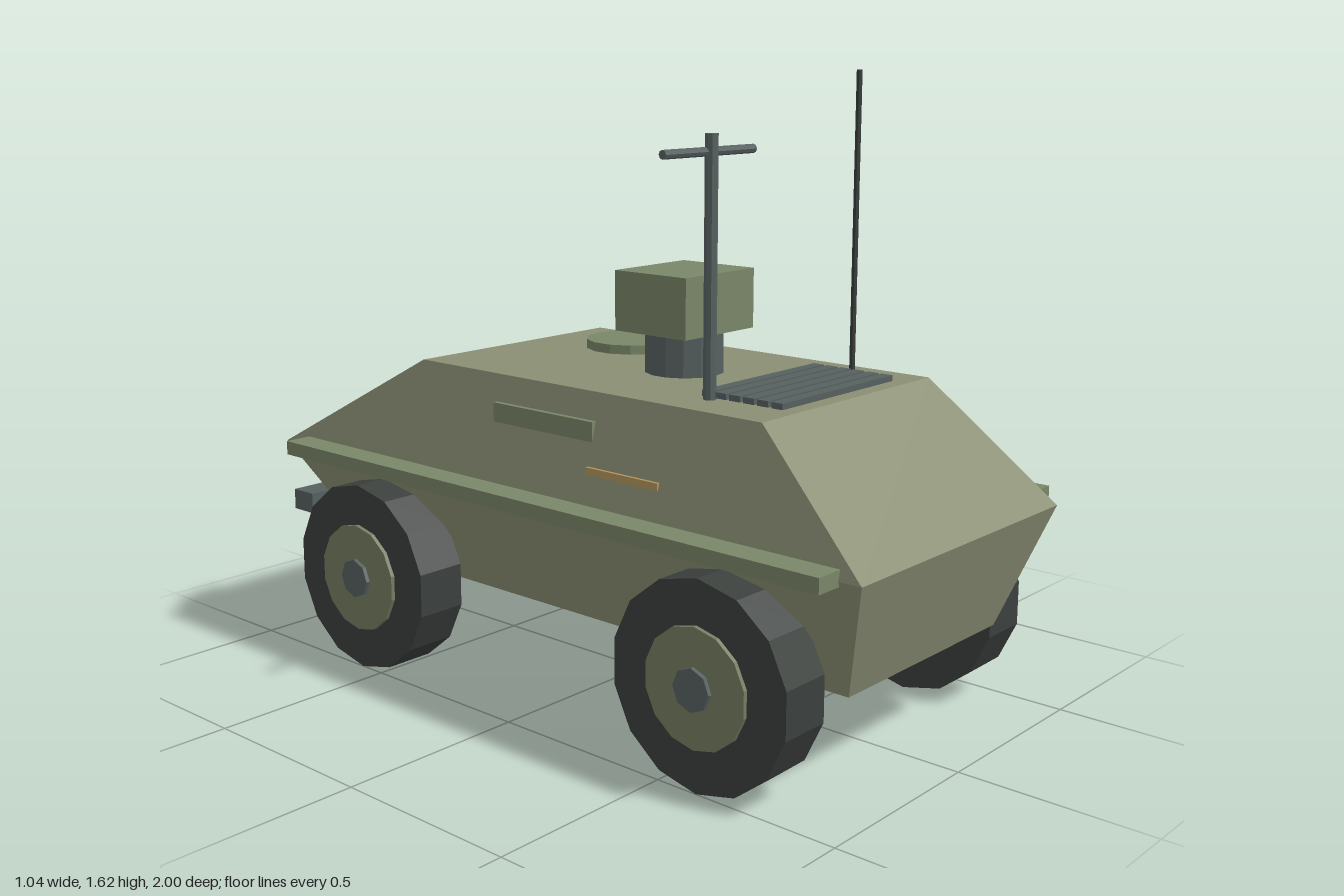
import * as THREE from 'three';

const paint = (color) => new THREE.MeshStandardMaterial({ color, flatShading: true });
const hullMat = paint(0x8a8f73), oliveMat = paint(0x7a8768), hubMat = paint(0x747d62);
const steelMat = paint(0x566160), rubberMat = paint(0x3b403d), darkMat = paint(0x363d3c);
const glassMat = paint(0x3c656b), lensMat = paint(0x2f555c), amberMat = paint(0xb2965a);

export function createModel() {
  const model = new THREE.Group();
  model.name = 'armouredCar';

  const add = (name, geometry, material, x = 0, y = 0, z = 0) => {
    const mesh = new THREE.Mesh(geometry, material);
    mesh.name = name;
    mesh.position.set(x, y, z);
    model.add(mesh);
    return mesh;
  };
  // Box from its lower and upper limits on each axis
  const box = (name, material, [x0, x1], [y0, y1], [z0, z1]) =>
    add(name, new THREE.BoxGeometry(x1 - x0, y1 - y0, z1 - z0), material,
      (x0 + x1) / 2, (y0 + y1) / 2, (z0 + z1) / 2);
  const post = (name, material, r, y0, y1, x, z, sides) =>
    add(name, new THREE.CylinderGeometry(r, r, y1 - y0, sides), material, x, (y0 + y1) / 2, z);

  // Faceted hull: bottom, waist and roof rectangles joined
  add('hull', loft([
    { y: 0.255, w: 0.315, back: -0.72, front: 0.9 },
    { y: 0.56, w: 0.425, back: -0.985, front: 1 },
    { y: 0.85, w: 0.345, back: -0.47, front: 0.67 },
  ]), hullMat);

  for (const s of [1, -1]) {
    const side = s > 0 ? 'left' : 'right';
    const span = (a, b) => (s > 0 ? [a, b] : [-b, -a]);

    // Side ledge, stowage panel and marker strip
    box(side + 'Fender', oliveMat, span(0.36, 0.495), [0.547, 0.585], [-0.89, 0.94]);
    box(side + 'SidePanel', oliveMat, span(0.355, 0.378), [0.732, 0.782], [-0.165, 0.18]);
    box(side + 'MarkerStrip', amberMat, span(0.38, 0.402), [0.657, 0.675], [0.18, 0.41]);

    // Wheels: tyre, hub and cap
    for (const [end, z] of [['Front', 0.615], ['Rear', -0.575]]) {
      const disc = (name, mat, r, x0, x1, sides) => {
        const g = new THREE.CylinderGeometry(r, r, x1 - x0, sides);
        g.rotateY(Math.PI / 2).rotateZ(Math.PI / 2);
        add(side + end + name, g, mat, s * (x0 + x1) / 2, 0.257, z);
      };
      disc('Tyre', rubberMat, 0.257, 0.36, 0.5, 14);
      disc('Hub', hubMat, 0.147, 0.45, 0.511, 14);
      disc('HubCap', steelMat, 0.053, 0.48, 0.522, 8);
    }

    // Window on the sloping plate and lamp on its lower edge
    const pane = add(side + 'Window', new THREE.BoxGeometry(0.25, 0.012, 0.275), glassMat,
      s * 0.179, 0.741, -0.666);
    pane.rotation.x = -Math.atan2(0.29, 0.515);
    box(side + 'Lamp', amberMat, span(0.253, 0.347), [0.522, 0.577], [-0.99, -0.972]);
  }

  box('bumper', steelMat, [-0.395, 0.395], [0.348, 0.406], [-1, -0.918]);

  // Turret and sensor
  post('turretBase', steelMat, 0.103, 0.84, 0.965, 0, 0.152, 14);
  box('turret', oliveMat, [-0.136, 0.134], [0.96, 1.115], [0.035, 0.27]);
  box('turretSensor', lensMat, [-0.083, 0.08], [1.007, 1.072], [0.02, 0.04]);

  // Roof hatch
  post('hatch', oliveMat, 0.131, 0.845, 0.875, 0.177, -0.185, 14);

  // Engine grille
  for (let i = 0; i < 6; i++) {
    const z = 0.417 + i * 0.0415;
    box('grilleSlat', steelMat, [-0.23, 0.223], [0.855, 0.87], [z - 0.016, z + 0.016]);
  }

  // Mast with crossbar, and whip antenna
  post('mast', steelMat, 0.016, 0.845, 1.475, -0.23, 0.425, 8);
  const bar = post('mastCrossbar', steelMat, 0.011, -0.165, 0.165, -0.23, 0.418, 8);
  bar.position.y = 1.433;
  bar.rotation.z = Math.PI / 2;
  post('antenna', darkMat, 0.008, 0.845, 1.615, 0.266, 0.49, 6);

  return model;
}

// Closed solid through a stack of rectangles, bottom to top
function loft(rings) {
  const positions = [];
  const index = [];
  for (const { y, w, back, front } of rings) {
    positions.push(w, y, front, w, y, back, -w, y, back, -w, y, front);
  }
  for (let r = 0; r < rings.length - 1; r++) {
    for (let i = 0; i < 4; i++) {
      const a = r * 4 + i, b = r * 4 + (i + 1) % 4;
      index.push(a, b, b + 4, a, b + 4, a + 4);
    }
  }
  const t = (rings.length - 1) * 4;
  index.push(0, 2, 1, 0, 3, 2, t, t + 1, t + 2, t, t + 2, t + 3);
  const indexed = new THREE.BufferGeometry();
  indexed.setAttribute('position', new THREE.Float32BufferAttribute(positions, 3));
  indexed.setIndex(index);
  const geometry = indexed.toNonIndexed();
  geometry.computeVertexNormals();
  return geometry;
}
